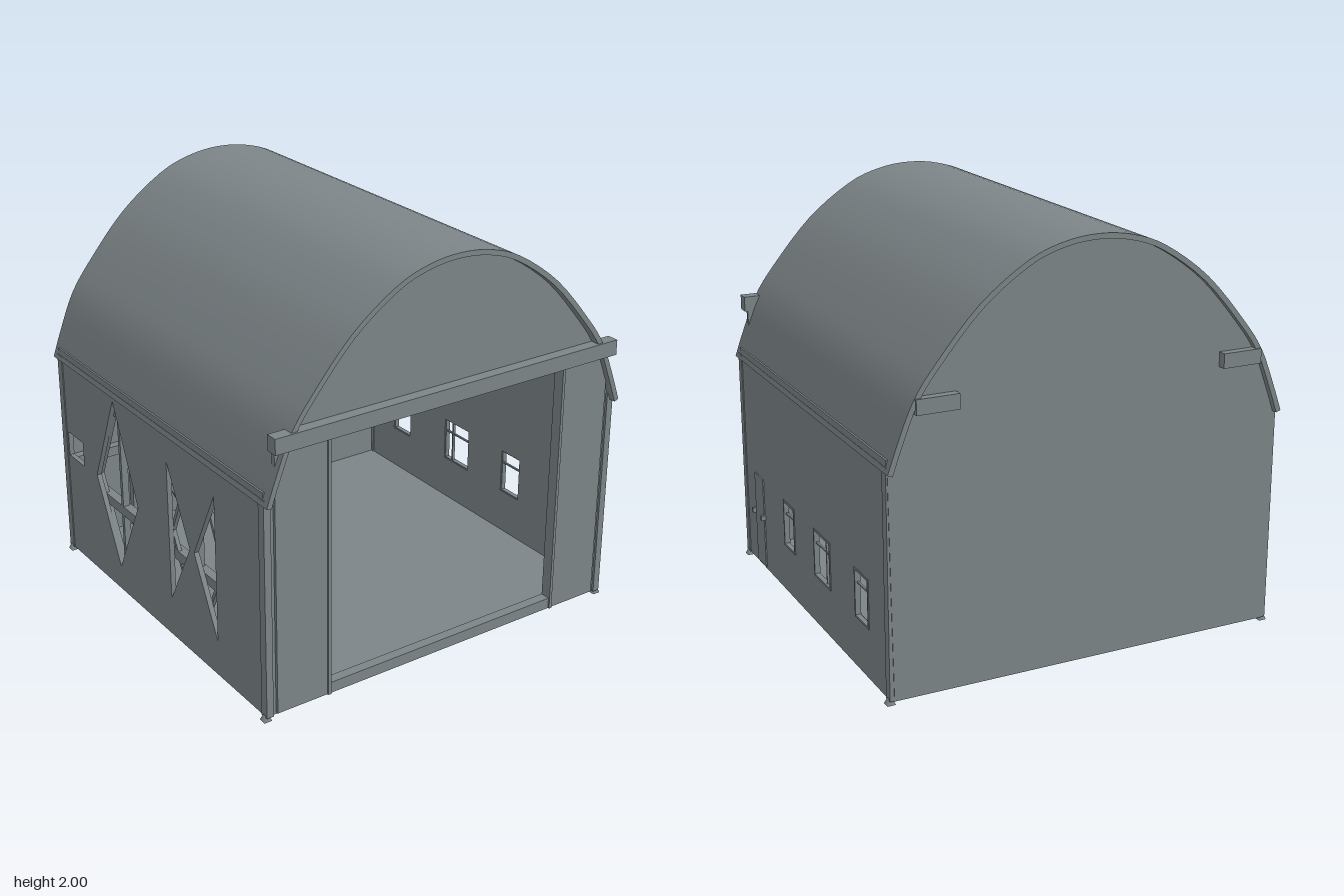
import * as THREE from 'three';
import { toCreasedNormals } from 'three/addons/utils/BufferGeometryUtils.js';

export function createModel() {
  const model = new THREE.Group();
  model.name = 'hangar';
  const grey = new THREE.MeshStandardMaterial({ color: 0x7d8588, side: THREE.DoubleSide });
  grey.name = 'weatheredGrey';

  function add(parent, name, geometry) {
    const mesh = new THREE.Mesh(geometry, grey);
    mesh.name = name;
    parent.add(mesh);
    return mesh;
  }
  // Box given by its lower and upper limits
  function box(parent, name, x0, x1, y0, y1, z0, z1) {
    const m = add(parent, name, new THREE.BoxGeometry(x1 - x0, y1 - y0, z1 - z0));
    m.position.set((x0 + x1) / 2, (y0 + y1) / 2, (z0 + z1) / 2);
    return m;
  }
  // Square strut between two points of a plane facing z
  function strut(parent, name, ax, ay, bx, by, w, d) {
    const m = add(parent, name, new THREE.BoxGeometry(Math.hypot(bx - ax, by - ay), w, d));
    m.position.set((ax + bx) / 2, (ay + by) / 2, d / 2);
    m.rotation.z = Math.atan2(by - ay, bx - ax);
    return m;
  }
  const poly = (points) => points.map(([x, y]) => new THREE.Vector2(x, y));
  const rect = (x0, x1, y0, y1) => [[x0, y0], [x1, y0], [x1, y1], [x0, y1]];
  function slab(outline, holes, depth) {
    const shape = new THREE.Shape(outline);
    for (const h of holes) shape.holes.push(new THREE.Path(poly(h)));
    return new THREE.ExtrudeGeometry(shape, { depth, bevelEnabled: false });
  }

  // Roof arch, right half mirrored to the left
  const half = [[0.985, 1.075], [0.94, 1.2], [0.865, 1.38], [0.76, 1.53], [0.56, 1.755],
    [0.34, 1.915], [0.17, 1.98]];
  const archPoints = [...half, [0, 2], ...half.map(([x, y]) => [-x, y]).reverse()];
  const arch = new THREE.SplineCurve(poly(archPoints)).getPoints(56);
  const inset = (d) => arch.map((p, i) => {
    const a = arch[Math.max(i - 1, 0)], b = arch[Math.min(i + 1, arch.length - 1)];
    const t = b.clone().sub(a).normalize();
    return new THREE.Vector2(p.x - t.y * d, p.y + t.x * d);
  });
  const inner = inset(0.025);

  const roof = slab([...arch, ...inner.slice().reverse()], [], 1.98);
  roof.translate(0, 0, -0.99);
  add(model, 'roof', toCreasedNormals(roof, 0.6));

  // Front and back walls fill the arch
  const endOutline = [new THREE.Vector2(-0.96, 0.02), new THREE.Vector2(0.96, 0.02), ...inset(0.012)];
  add(model, 'frontWall', slab(endOutline, [rect(-0.65, 0.65, 0.08, 1.31)], 0.03)).position.z = 0.915;
  add(model, 'backWall', slab(endOutline, [], 0.03)).position.z = -0.96;

  // Side walls, drawn as z and y, with their openings
  const wallOutline = poly(rect(-0.95, 0.945, 0.02, 1.13));
  function sideWall(name, holes, outerX) {
    const g = slab(wallOutline, holes, 0.025);
    g.rotateY(-Math.PI / 2);
    g.translate(outerX, 0, 0);
    return add(model, name, g);
  }
  sideWall('leftWall', [
    rect(0.215, 0.355, 0.27, 0.5), rect(-0.26, -0.06, 0.27, 0.5), rect(-0.72, -0.57, 0.27, 0.5),
  ], 0.975);
  sideWall('rightWall', [
    rect(-0.9, -0.74, 0.56, 0.69),
    [[-0.39, 0.15], [-0.18, 0.57], [-0.39, 1.05], [-0.6, 0.57]],
    [[0.12, 0.22], [0.31, 0.57], [0.12, 0.94]],
    [[0.54, 0.2], [0.54, 0.94], [0.35, 0.57]],
  ], -0.95);

  // Floor and threshold
  box(model, 'floor', -0.965, 0.965, 0.02, 0.045, -0.95, 0.94);
  box(model, 'threshold', -0.65, 0.65, 0.03, 0.085, 0.91, 0.96);

  // Front lintel with ends beyond the roof, and the back beam stubs
  box(model, 'lintel', -0.945, 0.94, 1.315, 1.39, 0.94, 1);

  for (const s of [-1, 1]) {
    const side = s < 0 ? 'right' : 'left';
    const group = new THREE.Group();
    group.name = side + 'Trim';
    model.add(group);
    const span = (name, a, b, ...rest) => box(group, name, Math.min(s * a, s * b), Math.max(s * a, s * b), ...rest);
    span('frontPanel', 0.65, 0.925, 0.03, 1.315, 0.94, 0.96);
    span('openingJamb', 0.645, 0.66, 0.03, 1.315, 0.91, 0.968);
    span('backBeamStub', 0.655, 0.855, 1.32, 1.39, -1, -0.95);
    for (const z of [-0.935, 0.935]) {
      span('cornerPost', 0.945, 0.98, 0.02, 1.1, z - 0.022, z + 0.022);
      const foot = add(group, 'cornerFoot', new THREE.CylinderGeometry(0.012, 0.028, 0.03, 4));
      foot.position.set(s * 0.972, 0.015, z);
      foot.rotation.y = Math.PI / 4;
    }
    span('eaveRail', 0.945, 0.978, 1.07, 1.1, -0.95, 0.94);
  }

  // Wooden framing: rails, posts and crossed braces on the inside of a wall
  function framing(name, width, posts, rails, top) {
    const g = new THREE.Group();
    g.name = name;
    for (const y of rails) box(g, 'rail', -width, width, y - 0.025, y + 0.025, 0, 0.045);
    for (const x of posts) box(g, 'post', x - 0.01, x + 0.01, 0.04, top, 0, 0.035);
    model.add(g);
    return g;
  }
  const levels = [0.06, 0.52, 0.975, 1.4];
  const back = framing('backFraming', 0.94, [-0.62, -0.3, 0, 0.3, 0.62], [0.52, 0.975], 1.4);
  back.position.z = -0.93;
  for (const s of [-1, 1]) {
    for (let i = 0; i < 3; i++) {
      const [lo, hi] = [levels[i], levels[i + 1]];
      const flip = i === 1 ? [hi, lo] : [lo, hi];
      const [a, b] = i === 0 ? [hi, lo] : i === 1 ? flip : [hi, lo];
      strut(back, 'brace', s * (i === 2 ? 0.01 : 0.03), a, s * 0.28, b, 0.018, 0.018);
      strut(back, 'brace', s * 0.55, a, s * 0.32, b, 0.018, 0.018);
    }
    strut(back, 'kneeBrace', s * 0.66, 1.08, s * 0.38, 1.34, 0.03, 0.045);
  }

  // Right wall framing shows through its openings
  const right = framing('rightFraming', 0.92, [-0.75, -0.39, 0.0, 0.33, 0.7], [0.455, 0.975], 1.1);
  right.rotation.y = Math.PI / 2;
  right.position.x = -0.95;
  // local x runs toward -z, so mirror the posts into place
  right.children.forEach((m) => { m.position.x *= -1; });
  for (const c of [0.39, -0.33]) {
    for (const s of [-1, 1]) {
      strut(right, 'brace', c + s * 0.23, 0.57, c, 1.07, 0.018, 0.02);
      strut(right, 'brace', c + s * 0.23, 0.57, c, 0.12, 0.018, 0.02);
    }
  }

  // Left wall window frames
  for (const [z0, z1] of [[0.215, 0.355], [-0.26, -0.06], [-0.72, -0.57]]) {
    const g = new THREE.Group();
    g.name = 'windowFrame';
    for (const y of [0.27, 0.5]) box(g, 'frameBar', 0.955, 0.979, y - 0.005, y + 0.005, z0, z1);
    for (const z of [z0, z1]) box(g, 'frameBar', 0.955, 0.979, 0.265, 0.505, z - 0.005, z + 0.005);
    box(g, 'glazingBar', 0.958, 0.968, 0.428, 0.436, z0, z1);
    model.add(g);
  }
  box(model, 'windowMullion', 0.955, 0.97, 0.27, 0.5, -0.204, -0.196);

  // Side door with hinge and handle
  const door = new THREE.Group();
  door.name = 'sideDoor';
  box(door, 'doorPanel', 0.975, 0.981, 0.03, 0.51, 0.655, 0.78);
  for (const z of [0.655, 0.785]) box(door, 'doorHandle', 0.975, 0.998, 0.29, 0.315, z - 0.008, z + 0.008);
  model.add(door);

  return model;
}
